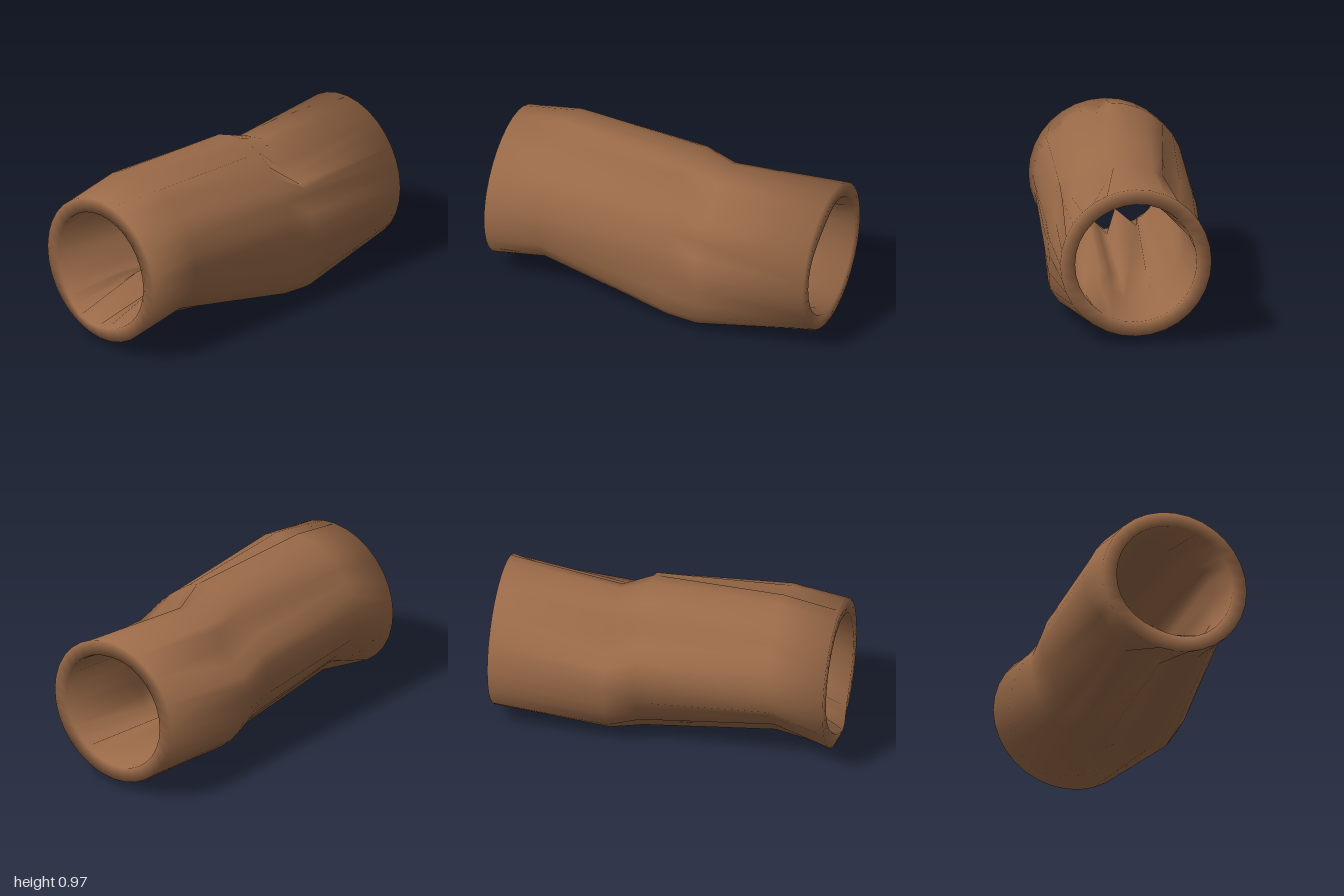
import * as THREE from 'three';

const SIDES = 32; // counter-clockwise from +x
const CENTRE_Y = 0.48;
const OUTER = 0.43, INNER = 0.345;

// [dx, dy] by which each strip of the wall is pushed off the round section:
// the front part heaves up, the part behind the middle sags
const frontBend = [
  [0, .05], [0, .04], [0, .055], [0, .057], [-.01, .015], [0, .052], [-.01, .053], [0, .005],
  [0, .06], [0, .06], [0, .06], [0, .06], [0, .06], [0, .06], [0, .06], [0, .06],
  [0, .055], [.028, .03], [.06, .05], [.065, .055], [.064, .064], [.037, .1], [-.02, .085], [.037, .21],
  [.015, .065], [0, .12], [-.007, .15], [.01, .07], [.005, .06], [0, .055], [0, .055], [0, .055],
];
const middleBend = [
  [0, .01], [-.01, .01], [-.02, .015], [0, .015], [0, 0], [0, 0], [-.01, .02], [.01, .02],
  [0, .025], [0, .025], [0, .025], [.01, .02], [.06, 0], [.03, 0], [0, .01], [0, .02],
  [0, .02], [.01, -.01], [.03, 0], [.03, 0], [.03, 0], [.02, .02], [-.01, -.01], [.02, .07],
  [.005, .01], [0, .05], [0, .07], [.025, -.05], [.065, -.09], [.065, -.08], [.03, -.05], [.005, -.02],
];
const backBend = [
  [0, -.035], [-.03, -.025], [-.075, -.03], [0, -.04], [0, -.095], [-.047, -.145], [-.042, -.13], [-.017, -.05],
  [0, -.04], [0, -.045], [.005, -.05], [.025, -.035], [.08, -.085], [.045, -.1], [0, -.07], [0, -.045],
  [0, -.03], [0, -.045], [0, -.045], [0, -.045], [0, -.045], [0, -.05], [0, -.048], [0, -.05],
  [0, -.047], [.005, 0], [.01, 0], [.03, -.077], [.07, -.1], [.067, -.09], [.035, -.065], [.008, -.045],
];
const straight = backBend.map(() => [0, 0]);

// Loft closed loops of rings into a hollow shell
function loftShell(rings) {
  const positions = [], index = [];
  rings.forEach(({ z, radius, bend, lip = 0, peak = 0 }, j) => {
    for (let i = 0; i < SIDES; i++) {
      const angle = i / SIDES * Math.PI * 2;
      const push = lip * Math.max(0, Math.cos(angle - peak)) ** 6;
      positions.push(
        radius * Math.cos(angle) + bend[i][0],
        CENTRE_Y + radius * Math.sin(angle) + bend[i][1],
        z + push);
      const i2 = (i + 1) % SIDES, j2 = (j + 1) % rings.length;
      const a = j * SIDES + i, b = j * SIDES + i2, c = j2 * SIDES + i, d = j2 * SIDES + i2;
      index.push(a, c, b, b, c, d);
    }
  });
  const geometry = new THREE.BufferGeometry();
  geometry.setAttribute('position', new THREE.Float32BufferAttribute(positions, 3));
  geometry.setIndex(index);
  geometry.computeVertexNormals();

  // Rounded shading on both rims
  rings.forEach(({ z, radius, bend }, j) => {
    if (bend !== straight) return;
    const side = radius === OUTER ? 0.8 : -0.8;
    for (let i = 0; i < SIDES; i++) {
      const angle = i / SIDES * Math.PI * 2;
      geometry.attributes.normal.setXYZ(j * SIDES + i,
        side * Math.cos(angle), side * Math.sin(angle), 0.6 * Math.sign(z));
    }
  });
  return geometry;
}

export function createModel() {
  const group = new THREE.Group();
  group.name = 'hollowLog';

  const rings = [
    // bark, front to back
    { z: 0.965, radius: OUTER, bend: straight },
    { z: 0.64, radius: OUTER, bend: frontBend },
    { z: -0.13, radius: OUTER, bend: middleBend },
    { z: -0.31, radius: OUTER, bend: backBend },
    { z: -0.98, radius: OUTER, bend: straight },
    // hollow, back to front, with an uneven lip at both ends
    { z: -0.98, radius: INNER, bend: straight, lip: -0.018, peak: Math.PI * .36 },
    { z: -0.31, radius: INNER, bend: backBend },
    { z: -0.13, radius: INNER, bend: middleBend },
    { z: 0.64, radius: INNER, bend: frontBend },
    { z: 0.965, radius: INNER, bend: straight, lip: 0.035, peak: Math.PI * 1.42 },
  ];

  const bark = new THREE.MeshStandardMaterial({ color: 0x9a6a48 });
  const log = new THREE.Mesh(loftShell(rings), bark);
  log.name = 'logShell';
  group.add(log);
  return group;
}
